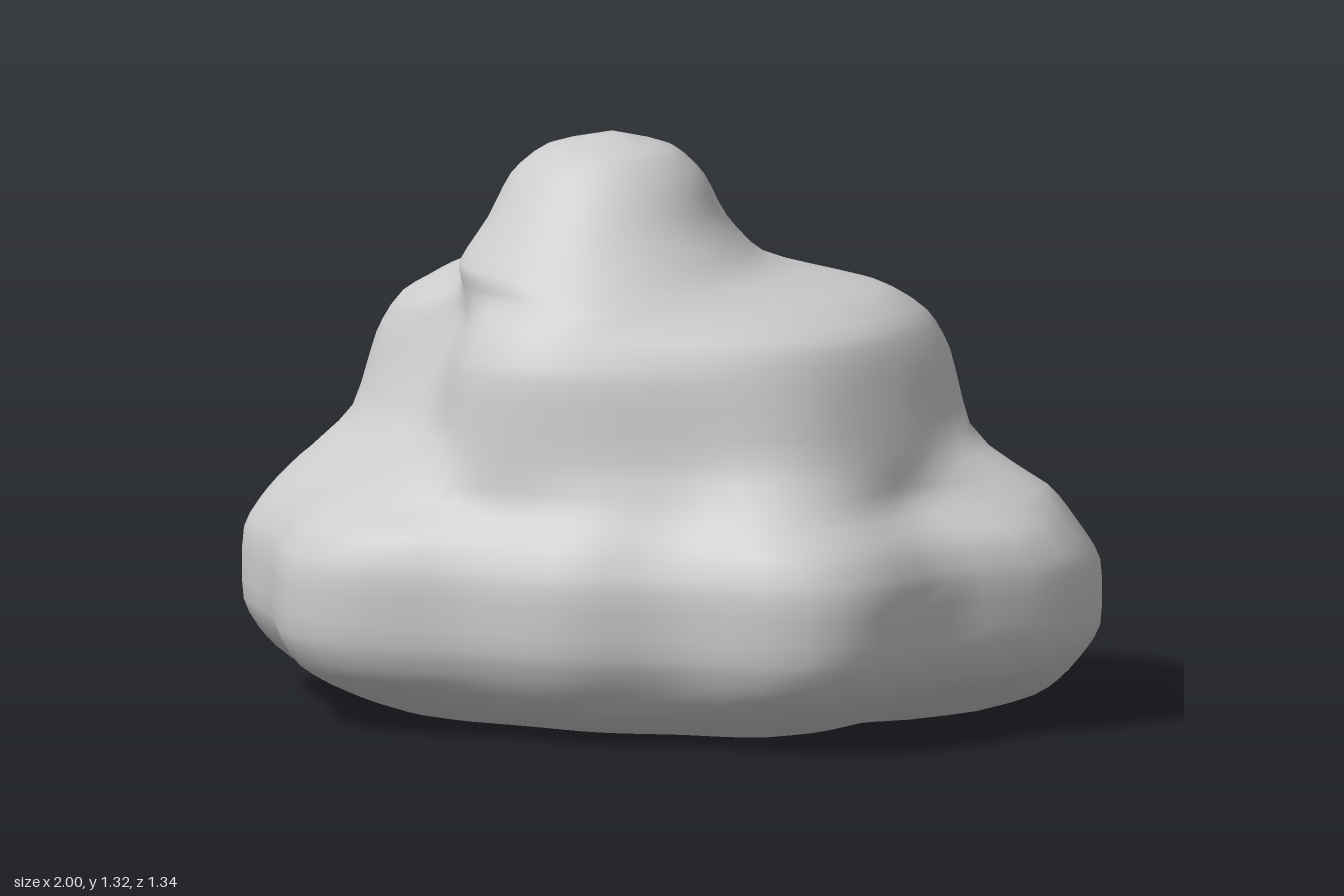
import * as THREE from 'three';
import { mergeVertices } from 'three/addons/utils/BufferGeometryUtils.js';

const SIDES = 64, STEPS = 3;

// Horizontal outlines as [x, z] points, running from +x through +z
const WIDE = [[1, -.03], [.95, .12], [.9, .2], [.76, .27], [.69, .41], [.62, .57], [.55, .635], [.4, .665], [.24, .625], [.08, .63],
  [-.06, .655], [-.22, .62], [-.36, .58], [-.5, .58], [-.65, .56], [-.8, .42], [-.84, .27], [-.91, .12], [-1, -.03], [-1, -.18],
  [-.95, -.27], [-.81, -.42], [-.67, -.59], [-.52, -.65], [-.3, -.66], [-.06, -.67], [.08, -.63], [.24, -.595], [.39, -.58],
  [.55, -.48], [.69, -.34], [.84, -.28], [.96, -.18]];
const LOBES = [[.88, -.05], [.82, .1], [.68, .15], [.6, .28], [.53, .46], [.42, .55], [.2, .54], [-.08, .56], [-.3, .5], [-.45, .46],
  [-.6, .42], [-.69, .28], [-.76, .12], [-.87, -.05], [-.87, -.2], [-.78, -.36], [-.65, -.5], [-.45, -.58], [-.1, -.6], [.1, -.56],
  [.35, -.5], [.52, -.42], [.65, -.27], [.8, -.2]];
const WAIST = [[.68, -.1], [.66, .1], [.56, .3], [.42, .45], [.15, .5], [-.15, .52], [-.36, .45], [-.46, .32], [-.54, .18], [-.68, .05],
  [-.76, -.1], [-.74, -.3], [-.63, -.47], [-.4, -.54], [-.06, -.55], [.15, -.5], [.4, -.46], [.56, -.38], [.64, -.25]];
const SHOULDER = [[.63, -.13], [.6, .1], [.52, .28], [.4, .4], [.15, .47], [-.2, .49], [-.36, .42], [-.43, .28], [-.49, .12],
  [-.62, .02], [-.7, -.1], [-.7, -.3], [-.6, -.45], [-.4, -.5], [-.05, -.52], [.15, -.46], [.3, -.42], [.48, -.38], [.58, -.27]];
const UPPER = [[.48, -.1], [.44, .08], [.34, .2], [.15, .34], [-.1, .42], [-.27, .36], [-.41, .2], [-.48, 0], [-.55, -.15],
  [-.5, -.32], [-.3, -.4], [-.1, -.43], [.1, -.37], [.25, -.31], [.4, -.24]];

const scaled = (pts, s) => pts.map(([x, z]) => [x * s, z * s]);
const oval = (x0, x1, z0, z1) => Array.from({ length: 12 }, (_, i) => {
  const a = i / 12 * Math.PI * 2;
  return [(x0 + x1) / 2 + (x1 - x0) / 2 * Math.cos(a), (z0 + z1) / 2 + (z1 - z0) / 2 * Math.sin(a)];
});

// Resample an outline at equal angles about its centre, then soften it
function ring(y, pts, cx = -.05, cz = 0) {
  const dense = new THREE.CatmullRomCurve3(pts.map(([x, z]) => new THREE.Vector3(x - cx, 0, z - cz)), true).getPoints(600);
  const radii = Array.from({ length: SIDES }, (_, i) => {
    const a = i / SIDES * Math.PI * 2, c = Math.cos(a), s = Math.sin(a);
    let r = 0;
    for (let k = 0; k < 600; k++) {
      const p = dense[k], q = dense[k + 1];
      const dp = p.z * c - p.x * s, dq = q.z * c - q.x * s;
      if (dp <= 0 && dq > 0) {
        const t = dp / (dp - dq);
        r = Math.max(r, (p.x + (q.x - p.x) * t) * c + (p.z + (q.z - p.z) * t) * s);
      }
    }
    return r;
  });
  return radii.map((r, i) => {
    const soft = r / 2 + (radii[(i + 1) % SIDES] + radii[(i + SIDES - 1) % SIDES]) / 4;
    const a = i / SIDES * Math.PI * 2;
    return new THREE.Vector3(cx + soft * Math.cos(a), y, cz + soft * Math.sin(a));
  });
}
const pole = (x, y, z) => Array.from({ length: SIDES }, () => new THREE.Vector3(x, y, z));

// Skin the rings with smooth vertical curves
function skin(rings) {
  const rows = (rings.length - 1) * STEPS;
  const columns = rings[0].map((_, i) => new THREE.CatmullRomCurve3(rings.map(r => r[i]), false, 'catmullrom', .35));
  const pos = [], index = [];
  for (let j = 0; j <= rows; j++) {
    for (const col of columns) {
      const p = col.getPoint(j / rows);
      pos.push(p.x, p.y, p.z);
    }
  }
  for (let j = 0; j < rows; j++) {
    for (let i = 0; i < SIDES; i++) {
      const a = j * SIDES + i, b = j * SIDES + (i + 1) % SIDES, c = a + SIDES, d = b + SIDES;
      if (j > 0) index.push(a, c, b);
      if (j < rows - 1) index.push(b, c, d);
    }
  }
  const geo = new THREE.BufferGeometry();
  geo.setAttribute('position', new THREE.Float32BufferAttribute(pos, 3));
  geo.setIndex(index);
  const merged = mergeVertices(geo, 1e-5);
  merged.computeVertexNormals();
  return merged;
}

export function createModel() {
  const geometry = skin([
    // Rounded underside
    pole(-.05, .005, 0),
    ring(.012, scaled(LOBES, .72)),
    ring(.07, scaled(LOBES, .99)),
    ring(.135, scaled(WIDE, .945)),
    // Wide lobed base
    ring(.22, WIDE),
    ring(.37, WIDE),
    ring(.46, scaled(WIDE, .945)),
    ring(.54, LOBES),
    // Waist and shoulders
    ring(.65, WAIST),
    ring(.82, SHOULDER),
    ring(.91, scaled(SHOULDER, .92)),
    ring(.975, UPPER),
    // Peak
    ring(1.025, oval(-.47, .23, -.39, .37), -.13, -.02),
    ring(1.12, oval(-.41, .13, -.31, .28), -.13, -.02),
    ring(1.22, oval(-.36, .08, -.225, .19), -.14, -.02),
    ring(1.285, oval(-.28, .01, -.15, .12), -.14, -.02),
    pole(-.13, 1.32, -.02),
  ]);
  const body = new THREE.Mesh(geometry, new THREE.MeshStandardMaterial({ color: 0xcccccc }));
  body.name = 'lumpyBody';
  const group = new THREE.Group();
  group.name = 'cloudMound';
  group.add(body);
  return group;
}
